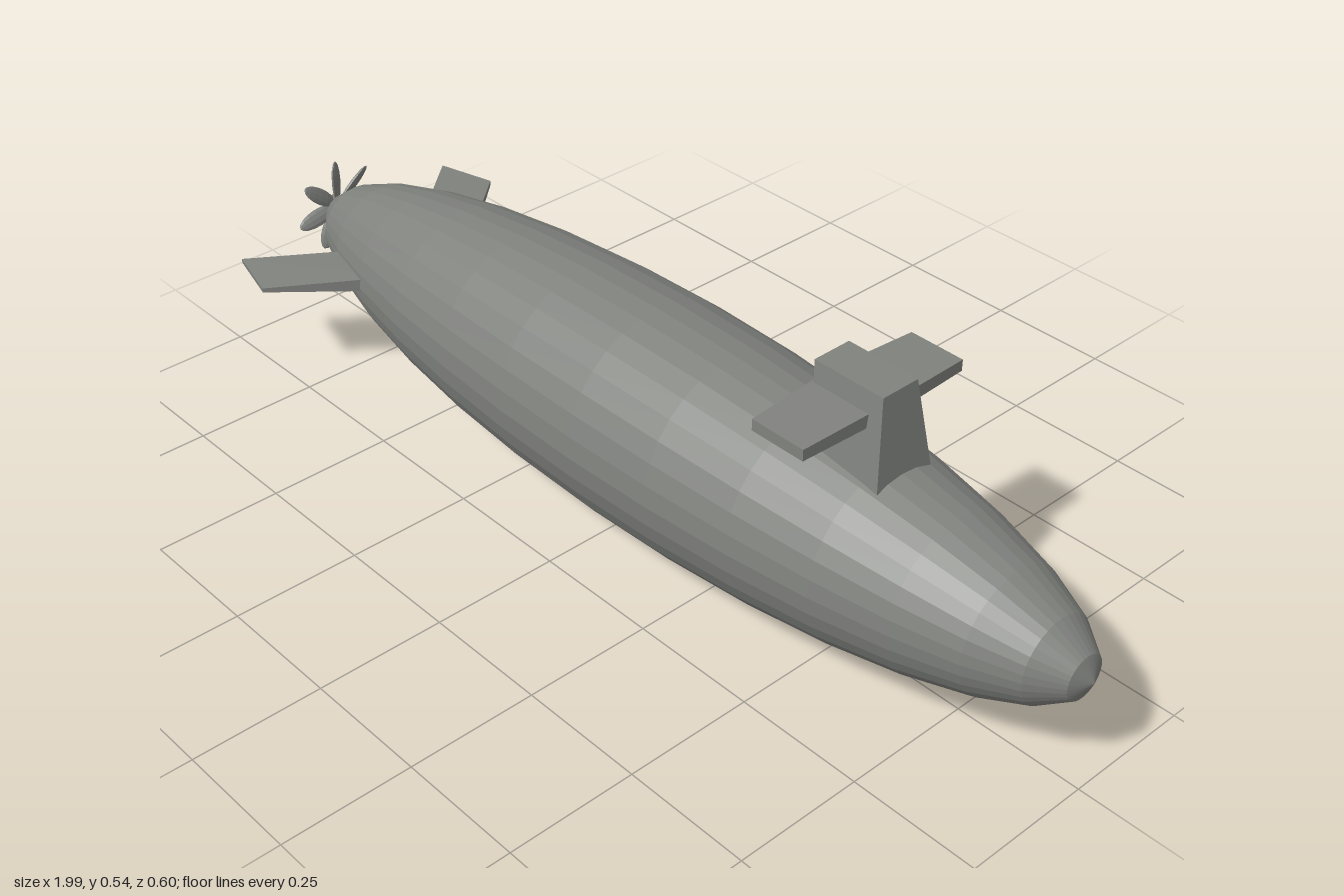
import * as THREE from 'three';

const { lerp } = THREE.MathUtils;

// Reshape a box: rule receives each corner as signs (-1 or 1) and returns its new place
function shapedBox(rule) {
  const geo = new THREE.BoxGeometry(2, 2, 2);
  const p = geo.attributes.position;
  for (let i = 0; i < p.count; i++) {
    p.setXYZ(i, ...rule(p.getX(i), p.getY(i), p.getZ(i)));
  }
  geo.computeVertexNormals();
  return geo;
}

export function createModel() {
  const model = new THREE.Group();
  const grey = new THREE.MeshStandardMaterial({ color: 0x80827e, flatShading: true });
  grey.name = 'hullGrey';

  const add = (name, geo, parent = model) => {
    const mesh = new THREE.Mesh(geo, grey);
    mesh.name = name;
    parent.add(mesh);
    return mesh;
  };

  const axisY = 0.219, axisZ = -0.006;

  // Long ellipsoid hull with its poles at bow and stern
  const hull = new THREE.SphereGeometry(1, 32, 16);
  hull.rotateZ(-Math.PI / 2);
  hull.scale(0.989, 0.216, 0.216);
  add('hull', hull).position.set(0.007, axisY, axisZ);

  // Tapered sail leaning slightly forward at the top
  add('sail', shapedBox((x, y, z) => {
    const t = (y + 1) / 2;
    const rear = lerp(0.447, 0.418, t), front = lerp(0.592, 0.567, t);
    return [x < 0 ? rear : front, lerp(0.35, 0.547, t), -0.009 + z * lerp(0.068, 0.04, t)];
  }));

  for (const side of [1, -1]) {
    const label = side > 0 ? 'Left' : 'Right';

    // Sail planes, a little narrower and thinner towards the tips
    add('sailPlane' + label, shapedBox((x, y, z) => {
      const t = (side * z + 1) / 2;
      const px = x < 0 ? lerp(0.416, 0.426, t) : lerp(0.546, 0.538, t);
      const py = y < 0 ? 0.482 : lerp(0.509, 0.504, t);
      return [px, py, -0.009 + side * lerp(0, 0.186, t)];
    }));

    // Swept stern fins, thick at the root and thin at the tip
    const shift = side > 0 ? 0 : -0.031;
    const fin = side > 0 ? 0.226 : 0.231;
    add('sternFin' + label, shapedBox((x, y, z) => {
      const t = (side * z + 1) / 2;
      const px = x < 0 ? lerp(-0.775, -0.927 + shift, t) : lerp(-0.65, -0.805 + shift, t);
      const pz = x < 0 ? lerp(0.06, 0.265, t) : lerp(0.09, 0.298, t);
      const half = lerp(x < 0 ? 0.012 : 0.016, 0.0045, t);
      return [px, fin + y * half, side * pz];
    }));
  }

  // Seven-bladed propeller turning around the x axis
  const propeller = new THREE.Group();
  propeller.name = 'propeller';
  propeller.position.set(-0.984, 0.227, -0.01);
  model.add(propeller);
  const hub = new THREE.CylinderGeometry(0.02, 0.02, 0.026, 12);
  hub.rotateZ(Math.PI / 2);
  add('propellerHub', hub, propeller);
  const blade = new THREE.SphereGeometry(1, 10, 8);
  blade.scale(0.006, 0.046, 0.018);
  blade.rotateY(0.55);
  blade.translate(0, 0.054, 0);
  for (let i = 0; i < 7; i++) {
    add('propellerBlade', blade, propeller).rotation.x = (i / 7) * Math.PI * 2;
  }

  return model;
}
